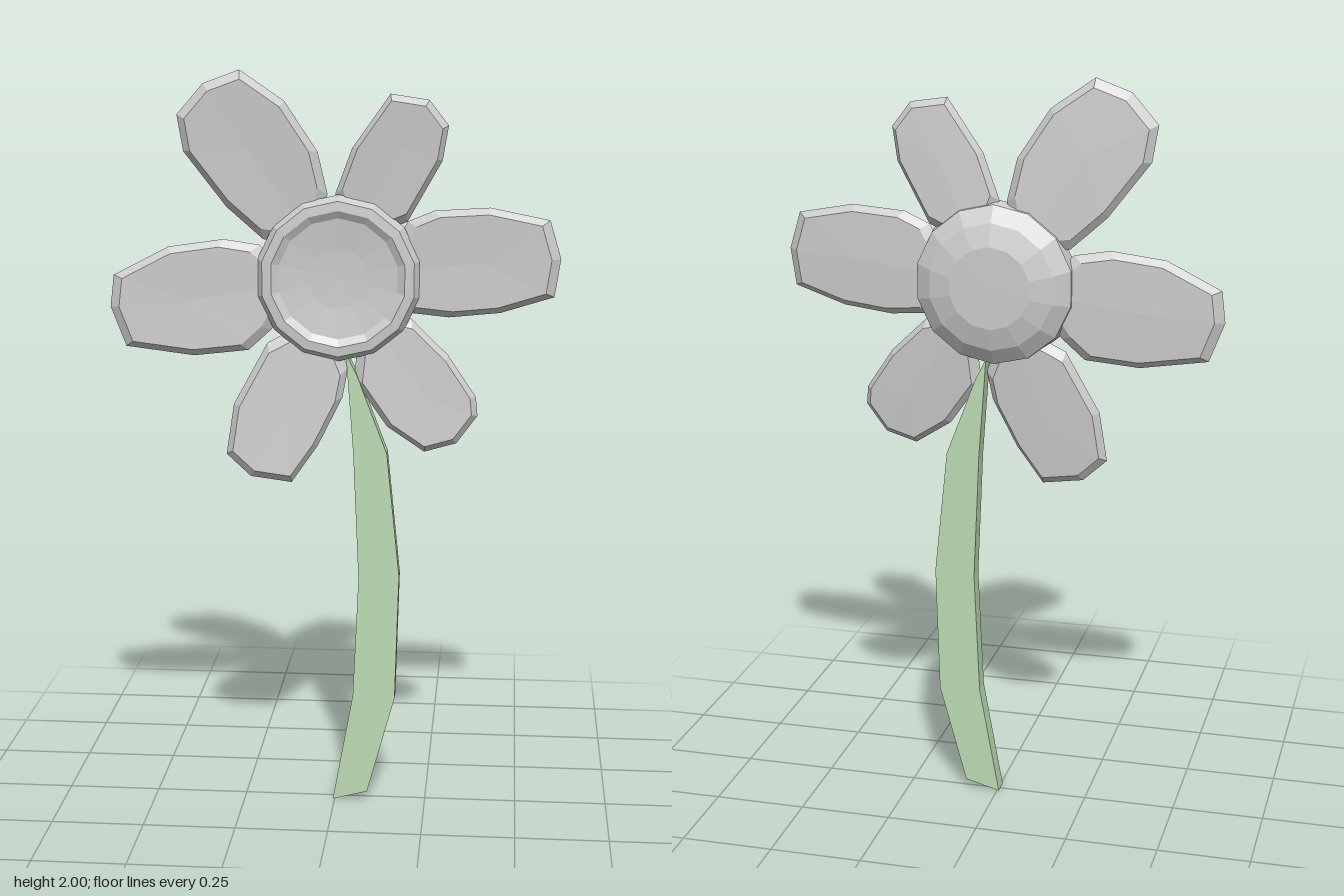
import * as THREE from 'three';

const CX = 0.01, CY = 1.46; // middle of the bloom

const grey = new THREE.MeshStandardMaterial({ color: 0xcccccc, flatShading: true });
const green = new THREE.MeshStandardMaterial({ color: 0xbcdcb4, flatShading: true });

// Petal outlines, clockwise seen from the front, open at the root
const PETALS = {
  petalUpperLeft: [[0, 1.68], [0.045, 1.8], [0.145, 1.94], [0.245, 1.925], [0.295, 1.86], [0.28, 1.77], [0.19, 1.61]],
  petalLeft: [[0.19, 1.61], [0.26, 1.64], [0.405, 1.65], [0.56, 1.62], [0.59, 1.52], [0.575, 1.42], [0.435, 1.375], [0.3, 1.36], [0.19, 1.37]],
  petalLowerLeft: [[0.2, 1.355], [0.3, 1.26], [0.375, 1.15], [0.38, 1.1], [0.325, 1.025], [0.24, 1.0], [0.14, 1.065], [0.05, 1.19]],
  petalLowerRight: [[0.035, 1.22], [0.02, 1.14], [-0.045, 1.01], [-0.115, 0.91], [-0.225, 0.925], [-0.29, 0.985], [-0.27, 1.12], [-0.18, 1.285]],
  petalRight: [[-0.17, 1.32], [-0.23, 1.265], [-0.375, 1.25], [-0.555, 1.275], [-0.595, 1.38], [-0.585, 1.465], [-0.44, 1.54], [-0.295, 1.56], [-0.2, 1.545]],
  petalUpperRight: [[-0.19, 1.56], [-0.285, 1.645], [-0.395, 1.79], [-0.41, 1.885], [-0.34, 1.965], [-0.245, 2.0], [-0.13, 1.92], [-0.045, 1.79], [-0.02, 1.68]],
};

// Petals lean forward with distance from the middle
const lean = (x, y) => 0.005 + 0.078 * (Math.hypot(x - CX, y - CY) - 0.15);

// Bevelled slab: full outline in the middle, inset outlines in front and behind
function petalGeometry(outline) {
  const n0 = outline.length;
  const mx = outline.reduce((s, p) => s + p[0], 0) / n0;
  const my = outline.reduce((s, p) => s + p[1], 0) / n0;
  const dir = Math.hypot(mx - CX, my - CY);
  const root = [CX + (mx - CX) / dir * 0.1, CY + (my - CY) / dir * 0.1];
  const pts = [...outline, root], n = pts.length;
  const pos = [], idx = [];
  for (const [scale, dz] of [[0.88, -0.018], [1, 0], [0.88, 0.018]]) {
    for (const [px, py] of pts) {
      const x = mx + (px - mx) * scale, y = my + (py - my) * scale;
      pos.push(x, y, lean(x, y) + dz);
    }
  }
  const z = lean(mx, my);
  pos.push(mx, my, z - 0.02, mx, my, z + 0.016);
  for (let i = 0; i < n; i++) {
    const j = (i + 1) % n;
    for (const r of [0, n]) {
      idx.push(r + i, r + n + i, r + j, r + j, r + n + i, r + n + j);
    }
    idx.push(3 * n, i, j, 3 * n + 1, 2 * n + j, 2 * n + i);
  }
  const g = new THREE.BufferGeometry();
  g.setAttribute('position', new THREE.Float32BufferAttribute(pos, 3));
  g.setIndex(idx);
  g.computeVertexNormals();
  return g;
}

function addMesh(parent, name, geometry, material) {
  const mesh = new THREE.Mesh(geometry, material);
  mesh.name = name;
  parent.add(mesh);
  return mesh;
}

export function createModel() {
  const flower = new THREE.Group();
  flower.name = 'flower';

  // Six petals
  for (const [name, outline] of Object.entries(PETALS)) {
    addMesh(flower, name, petalGeometry(outline), grey);
  }

  // Middle: domed behind, raised rim and shallow dish in front
  const profile = [[0, -0.063], [0.11, -0.062], [0.17, -0.045], [0.213, -0.015], [0.22, 0.025],
    [0.205, 0.048], [0.18, 0.05], [0.16, 0.038], [0.08, 0.03], [0, 0.028]];
  const middle = new THREE.LatheGeometry(profile.map(([r, h]) => new THREE.Vector2(r, h)), 14);
  middle.rotateX(Math.PI / 2);
  addMesh(flower, 'flowerCentre', middle, grey).position.set(CX, CY, 0);

  // Curved flat stem, tucked in under the middle
  const stem = new THREE.Shape([
    [-0.005, 0], [0.09, 0.025], [0.165, 0.3], [0.175, 0.65], [0.14, 0.99], [0.06, 1.2],
    [0.03, 1.26], [0.05, 0.99], [0.065, 0.64], [0.05, 0.305],
  ].map(([x, y]) => new THREE.Vector2(x, y)));
  const stemGeometry = new THREE.ExtrudeGeometry(stem, { depth: 0.046, bevelEnabled: false });
  addMesh(flower, 'stem', stemGeometry, green).position.z = -0.018;

  return flower;
}
